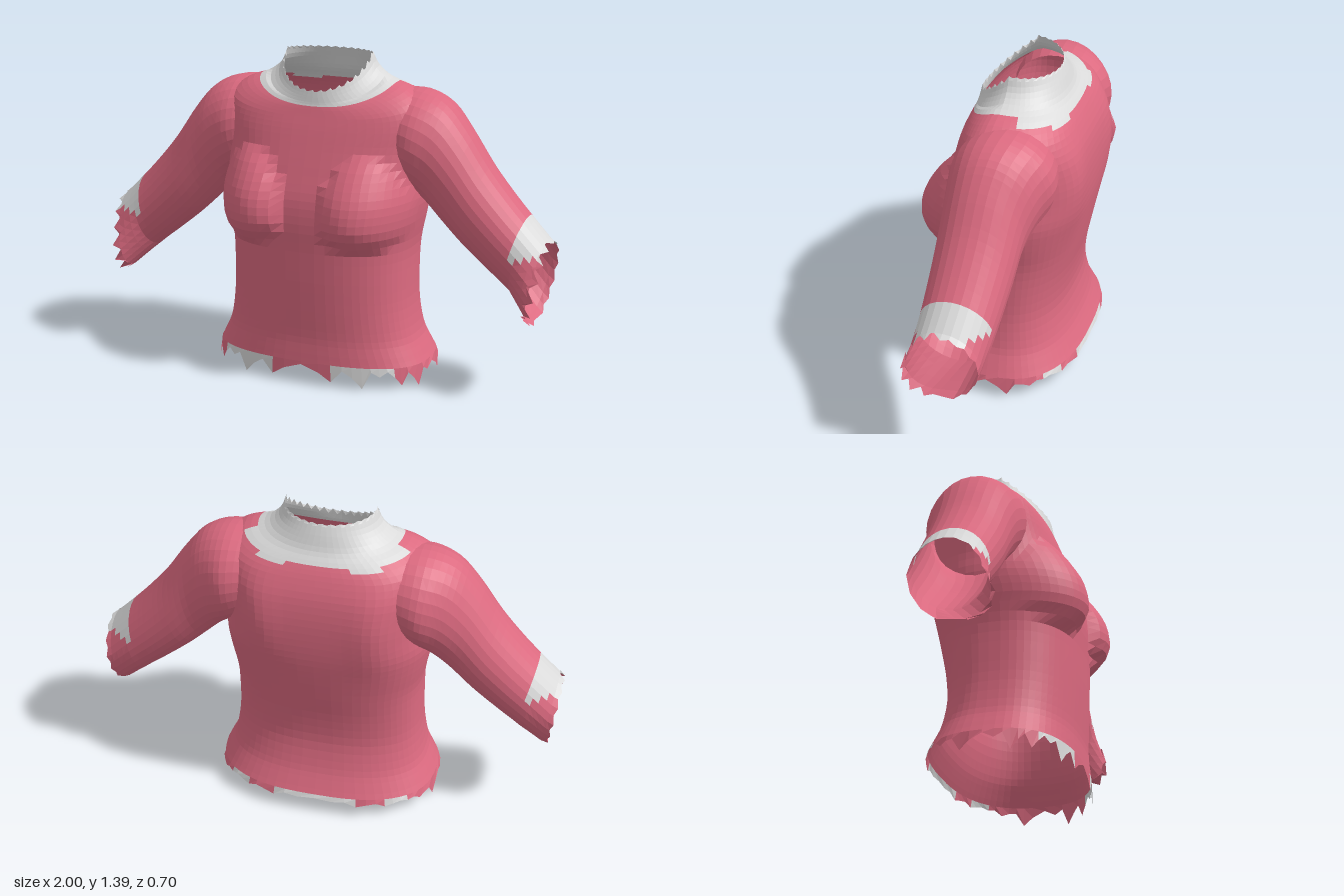
import * as THREE from 'three';

const fabric = new THREE.MeshStandardMaterial({ color: 0xdc6a80, flatShading: true, side: THREE.DoubleSide });
fabric.name = 'rose fabric';
const trim = new THREE.MeshStandardMaterial({ color: 0xdadada, flatShading: true, side: THREE.DoubleSide });
trim.name = 'pale trim';

// Smoothly interpolated value of column k in a list of section rows
function sample(rows, r, k) {
  const i = Math.min(Math.floor(r), rows.length - 2), t = r - i;
  const at = (n) => rows[Math.max(0, Math.min(rows.length - 1, n))][k];
  const a = at(i - 1), b = at(i), c = at(i + 1), d = at(i + 2);
  return b + 0.5 * t * (c - a + t * (2 * a - 5 * b + 4 * c - d + t * (3 * (b - c) + d - a)));
}

// Open tube surface from point(r, angle, column); isTrim picks the pale faces
function loft(name, sections, steps, cols, point, isTrim, flip) {
  const rows = (sections - 1) * steps, pos = [], main = [], pale = [];
  for (let i = 0; i <= rows; i++)
    for (let j = 0; j < cols; j++) pos.push(...point(i / steps, (j / cols) * Math.PI * 2, j));
  for (let i = 0; i < rows; i++) {
    for (let j = 0; j < cols; j++) {
      const k = (j + 1) % cols;
      const a = i * cols + j, b = i * cols + k, c = a + cols, d = b + cols;
      const mid = [0, 1, 2].map((n) => (pos[a * 3 + n] + pos[b * 3 + n] + pos[c * 3 + n] + pos[d * 3 + n]) / 4);
      const list = isTrim((i + 0.5) / steps, mid) ? pale : main;
      list.push(...(flip ? [a, b, c, b, d, c] : [a, c, b, b, c, d]));
    }
  }
  const g = new THREE.BufferGeometry();
  g.setAttribute('position', new THREE.Float32BufferAttribute(pos, 3));
  g.setIndex([...main, ...pale]);
  g.addGroup(0, main.length, 0);
  g.addGroup(main.length, pale.length, 1);
  g.computeVertexNormals();
  const mesh = new THREE.Mesh(g, [fabric, trim]);
  mesh.name = name;
  return mesh;
}

// Body sections: front y, side y, back y, half width, front z, back z
const BODY = [
  [0.08, 0.07, 0.07, 0.485, 0.29, -0.33],
  [0.13, 0.13, 0.13, 0.455, 0.287, -0.3],
  [0.2, 0.2, 0.2, 0.425, 0.284, -0.272],
  [0.32, 0.32, 0.32, 0.405, 0.29, -0.25],
  [0.45, 0.45, 0.45, 0.4, 0.296, -0.26],
  [0.58, 0.58, 0.58, 0.403, 0.3, -0.285],
  [0.7, 0.7, 0.7, 0.425, 0.305, -0.307],
  [0.8, 0.8, 0.8, 0.438, 0.295, -0.322],
  [0.9, 0.9, 0.9, 0.43, 0.265, -0.328],
  [1.0, 1.0, 1.0, 0.435, 0.232, -0.325],
  [1.08, 1.1, 1.09, 0.45, 0.205, -0.31],
  [1.13, 1.19, 1.165, 0.43, 0.186, -0.28],
  [1.16, 1.245, 1.215, 0.36, 0.175, -0.25],
  [1.18, 1.275, 1.26, 0.275, 0.168, -0.215],
  [1.21, 1.32, 1.32, 0.215, 0.163, -0.19],
  [1.24, 1.38, 1.365, 0.19, 0.158, -0.17],
];
const BODY_COLS = 64;

function bodyPoint(r, a, j) {
  const [yF, yS, yB, w, zF, zB] = [0, 1, 2, 3, 4, 5].map((k) => sample(BODY, r, k));
  const c = Math.cos(a), s = Math.sin(a);
  // rounded-square section that becomes round at the neck
  const e = r < 11 ? 0.78 : THREE.MathUtils.lerp(0.78, 1, (r - 11) / 4);
  const x = w * Math.sign(c) * Math.abs(c) ** e;
  const zMid = r > 11 ? THREE.MathUtils.lerp(0, -0.01, (r - 11) / 4) : 0;
  let z = zMid + (s > 0 ? zF - zMid : zMid - zB) * Math.sign(s) * Math.abs(s) ** e;
  let y = yS + ((s > 0 ? yF : yB) - yS) * Math.abs(s) ** (r > 13 ? 1 : 1.4);
  const ax = Math.abs(x);
  if (s > 0) {
    // bust, steep below and sloping above
    const dy = y - 0.72;
    const d = ((ax - 0.255) / 0.18) ** 2 + (dy / (dy < 0 ? 0.125 : 0.27)) ** 2;
    if (d < 1) z += 0.088 * (1 - d) ** 0.75;
  } else {
    // shoulder blades
    z -= 0.028 * Math.exp(-(((ax - 0.26) / 0.11) ** 2) - ((y - 0.95) / 0.2) ** 2);
  }
  // torn hem
  if (r === 0) {
    const depth = s > -0.3 ? 0.078 : 0.022;
    y -= depth * [0, 0.35, 0.8, 0.1, 0.45, 1, 0.05, 0.3][Math.abs(16 - j + (j > 48 ? 64 : 0)) % 8];
  }
  // torn neck edge
  if (r === BODY.length - 1) y -= (s > 0 ? 0.025 : 0.006) * (j % 2);
  return [x, y, z];
}

function bodyTrim(r, [x, y, z]) {
  const ax = Math.abs(x);
  // neckline, deeper at the back with a drip at each side
  if (r > 11) return r > (z > -0.08 ? 12.8 : ax > 0.14 && ax < 0.26 ? 11.5 : 12);
  // hem patches
  return r < 0.34 && (z > 0 ? ax > 0.15 && ax < 0.4 : ax < 0.2 || (ax > 0.3 && z < -0.22));
}

// Sleeve sections: top x, top y, bottom x, bottom y, front z, back z
const SLEEVE = [
  [0.3, 1.235, 0.32, 0.87, 0.13, -0.26],
  [0.42, 1.238, 0.39, 0.82, 0.16, -0.275],
  [0.53, 1.195, 0.455, 0.765, 0.15, -0.235],
  [0.62, 1.095, 0.525, 0.695, 0.142, -0.202],
  [0.72, 0.95, 0.62, 0.605, 0.14, -0.19],
  [0.82, 0.83, 0.73, 0.515, 0.138, -0.178],
  [0.91, 0.735, 0.83, 0.435, 0.138, -0.166],
  [0.99, 0.655, 0.945, 0.325, 0.145, -0.155],
];

function sleevePoint(side, r, a, j) {
  const [tx, ty, bx, by, zF, zB] = [0, 1, 2, 3, 4, 5].map((k) => sample(SLEEVE, r, k));
  const c = Math.cos(a), s = Math.sin(a);
  let x = (tx + bx) / 2 + ((tx - bx) / 2) * c;
  let y = (ty + by) / 2 + ((ty - by) / 2) * c;
  let z = (zF + zB) / 2 + ((zF - zB) / 2) * s;
  // lower front edge swings forward at the cuff
  const end = Math.max(0, r - 6);
  z += end * 0.075 * Math.max(0, -c + 0.25) * (s > -0.3 ? 1 : 0.4);
  // torn cuff
  if (r === SLEEVE.length - 1) {
    const tear = (s > 0.2 ? 0.04 : 0.01) * (j % 2);
    x += 0.01 - tear;
    y += tear * 0.6;
  }
  return [side * x, y, z];
}

export function createModel() {
  const model = new THREE.Group();
  model.name = 'top';
  model.add(loft('body', BODY.length, 3, BODY_COLS, bodyPoint, bodyTrim, false));
  for (const side of [1, -1]) {
    // pale patch on the outer side of each cuff
    const patch = (r, [x, y, z]) => r > 5.75 && y > 0.635 - 0.03 * (z > 0.08) && z < 0.15;
    model.add(loft(side > 0 ? 'leftSleeve' : 'rightSleeve', SLEEVE.length, 4, 28,
      (r, a, j) => sleevePoint(side, r, a, j), patch, side > 0));
  }
  return model;
}
